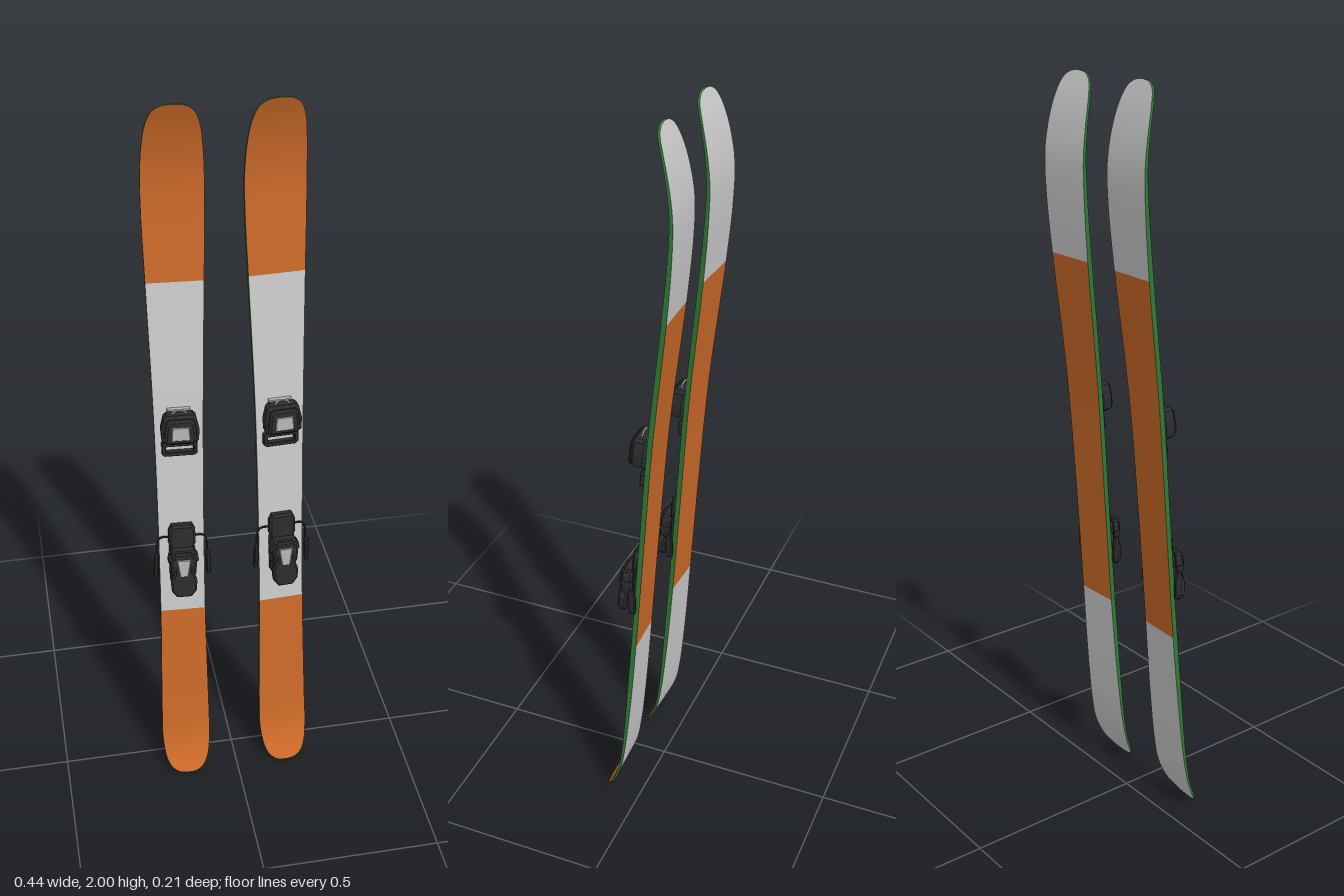
import * as THREE from 'three';

const paint = (color, flatShading = false) => new THREE.MeshStandardMaterial({ color, flatShading });
const grey = paint(0xcccccc), orange = paint(0xcc6a29), green = paint(0x2f7a35);
const black = paint(0x2c2c2e, true), lightGrey = paint(0xb4b4b4, true);

function add(parent, name, geometry, material, x = 0, y = 0, z = 0) {
  const mesh = new THREE.Mesh(geometry, material);
  mesh.name = name;
  mesh.position.set(x, y, z);
  parent.add(mesh);
  return mesh;
}

const box = (w, h, d) => new THREE.BoxGeometry(w, h, d);
const outline = pts => new THREE.Shape(pts.map(p => new THREE.Vector2(...p)));
// Outline symmetric in x, from right-hand [x, y] points listed bottom to top
const mirrored = half => outline([...half, ...half.map(([x, y]) => [-x, y]).reverse()]);

// Front-facing slab with chamfered rim, from z = 0 to z = depth
function slab(shape, depth, bevel = 0.004) {
  const geo = new THREE.ExtrudeGeometry(shape, {
    depth: depth - 2 * bevel, bevelSize: bevel, bevelThickness: bevel, bevelOffset: -bevel,
    bevelSegments: 1, curveSegments: 6,
  });
  return geo.translate(0, 0, bevel);
}

// Side profile of [z, y] points swept across the width
function sweep(pts, width, bevel = 0.005) {
  const geo = slab(outline(pts), width, bevel);
  return geo.translate(0, 0, -width / 2).rotateY(-Math.PI / 2);
}

// Half width, height and depth of the ski's centre surface, tail to tip
const STEPS = 6;
const RAIL = [
  [0, 0, 0.105], [0.025, 0.003, 0.103], [0.046, 0.016, 0.095], [0.060, 0.04, 0.080], [0.069, 0.1, 0.056],
  [0.069, 0.18, 0.042], [0.067, 0.3, 0.030], [0.0625, 0.56, 0.010], [0.062, 0.9, -0.015],
  [0.065, 1.2, -0.039], [0.073, 1.54, -0.077], [0.077, 1.7, -0.092], [0.077, 1.8, -0.095],
  [0.073, 1.88, -0.085], [0.064, 1.945, -0.069], [0.050, 1.98, -0.057], [0.028, 1.996, -0.051], [0, 2, -0.049],
];
const TAIL_SPLIT = 7 * STEPS, TIP_SPLIT = 10 * STEPS, LAST = (RAIL.length - 1) * STEPS;

// Smooth ribbon between two rows of points, the left row and the right row as seen from its front
function ribbon(rows, left, right) {
  const pos = [], index = [];
  rows.forEach((row, i) => {
    pos.push(...left(row), ...right(row));
    const a = 2 * i;
    if (i < rows.length - 1) index.push(a, a + 1, a + 3, a, a + 3, a + 2);
  });
  const geo = new THREE.BufferGeometry();
  geo.setAttribute('position', new THREE.Float32BufferAttribute(pos, 3));
  geo.setIndex(index);
  geo.computeVertexNormals();
  return geo;
}

function makeSki() {
  const ski = new THREE.Group();
  ski.name = 'ski';
  const rows = new THREE.CatmullRomCurve3(RAIL.map(p => new THREE.Vector3(...p))).getPoints(LAST)
    .map(p => {
      const t = 0.003 + 0.004 * THREE.MathUtils.smoothstep(Math.min(p.y, 2 - p.y), 0, 0.5);
      return { w: Math.max(p.x, 0), y: p.y, front: p.z + t, back: p.z - t };
    });
  const corner = (side, face) => r => [side * r.w, r.y, r[face]];
  const FL = corner(-1, 'front'), FR = corner(1, 'front'), BL = corner(-1, 'back'), BR = corner(1, 'back');
  const sections = [
    ['tail', 0, TAIL_SPLIT, orange, grey],
    ['middle', TAIL_SPLIT, TIP_SPLIT, grey, orange],
    ['tip', TIP_SPLIT, LAST, orange, grey],
  ];
  for (const [name, from, to, top, base] of sections) {
    const part = rows.slice(from, to + 1);
    add(ski, name + 'TopSheet', ribbon(part, FL, FR), top);
    add(ski, name + 'Base', ribbon(part, BR, BL), base);
  }
  add(ski, 'sidewallLeft', ribbon(rows, FR, BR), green);
  add(ski, 'sidewallRight', ribbon(rows, BL, FL), green);
  return ski;
}

function makeToeBinding() {
  const toe = new THREE.Group();
  toe.name = 'toeBinding';
  add(toe, 'toeBasePlate', box(0.07, 0.085, 0.012), black, 0, 0.01, 0.005);

  // Boot rest: a low open frame below the toe piece
  const rest = mirrored([[0.04, -0.07], [0.047, -0.063], [0.047, -0.034], [0.04, -0.028]]);
  rest.holes.push(mirrored([[0.036, -0.058], [0.036, -0.042]]));
  add(toe, 'bootRest', slab(rest, 0.018, 0.002), black);

  // Housing with wings, and its raised hood around a light panel
  add(toe, 'toeHousing', slab(mirrored([
    [0.034, -0.022], [0.048, -0.012], [0.05, 0.02], [0.042, 0.055], [0.034, 0.062],
  ]), 0.04, 0.007), black, 0, 0, 0.008);
  add(toe, 'toeHood', slab(mirrored([
    [0.036, -0.016], [0.042, -0.006], [0.036, 0.045], [0.028, 0.053],
  ]), 0.022, 0.006), black, 0, 0, 0.034);
  add(toe, 'toePanel', slab(mirrored([[0.025, -0.004], [0.022, 0.035]]), 0.006, 0.002), lightGrey, 0, 0, 0.052);

  // Light bracket and bail above the housing
  add(toe, 'toeBracket', box(0.06, 0.03, 0.014), lightGrey, 0, 0.05, 0.006);
  add(toe, 'toeBail', new THREE.TorusGeometry(0.022, 0.003, 5, 12, Math.PI), lightGrey, 0, 0.05, 0.03);
  return toe;
}

function makeHeelBinding() {
  const heel = new THREE.Group();
  heel.name = 'heelBinding';
  add(heel, 'heelTrack', box(0.06, 0.17, 0.014), black, 0, 0.01, 0.006);

  // Heel pad that the boot steps on
  add(heel, 'heelPad', slab(mirrored([
    [0.027, 0.03], [0.037, 0.055], [0.036, 0.095], [0.028, 0.112],
  ]), 0.026, 0.006), black);

  // Turret seen from the side, leaning out to the lever
  add(heel, 'heelTurret', sweep([
    [0, -0.07], [0.024, -0.068], [0.03, -0.035], [0.05, -0.03], [0.06, 0.005],
    [0.055, 0.04], [0.035, 0.045], [0.022, 0.035], [0, 0.045],
  ], 0.07), black);
  add(heel, 'heelCup', slab(mirrored([
    [0.03, 0.002], [0.042, 0.012], [0.04, 0.03], [0.03, 0.045],
  ]), 0.03, 0.006), black, 0, 0, 0.022);

  // Release lever tapering downwards, with its light panel
  add(heel, 'heelLever', slab(mirrored([
    [0.02, -0.1], [0.034, -0.08], [0.036, -0.05], [0.024, -0.015], [0.03, 0.03], [0.022, 0.042],
  ]), 0.024, 0.005), black, 0, 0, 0.034);
  add(heel, 'heelPanel', slab(mirrored([[0.011, -0.03], [0.019, 0.024]]), 0.006, 0.002), lightGrey, 0, 0, 0.055);

  // Brake arms reaching past both ski edges
  for (const s of [-1, 1]) {
    const path = new THREE.CatmullRomCurve3([
      [0.02, 0.068, 0.008], [0.056, 0.07, 0.008], [0.066, 0.058, 0.007], [0.069, 0.01, 0.005], [0.071, -0.05, 0.002],
    ].map(([x, y, z]) => new THREE.Vector3(s * x, y, z)));
    add(heel, 'brakeArm', new THREE.TubeGeometry(path, 16, 0.003, 6), black);
    const pad = add(heel, 'brakePad', sweep([
      [-0.008, -0.058], [0.006, -0.06], [0.016, -0.02], [0.018, 0.014], [0.006, 0.018], [-0.004, -0.01],
    ], 0.012, 0.003), black, s * 0.071, 0, 0);
    pad.rotation.z = s * 0.04;
  }
  return heel;
}

export function createModel() {
  const model = new THREE.Group();
  model.name = 'skiPair';
  for (const s of [-1, 1]) {
    const side = new THREE.Group();
    side.name = s > 0 ? 'leftSki' : 'rightSki';
    const toe = makeToeBinding(), heel = makeHeelBinding();
    toe.position.set(0, 1.135, -0.027);
    heel.position.set(0, 0.74, 0.003);
    toe.rotation.x = heel.rotation.x = -0.08;
    side.add(makeSki(), toe, heel);
    // Tips lean towards each other and the top sheets turn slightly outwards
    side.position.x = s * 0.144;
    side.rotation.set(0, s * 0.045, s * 0.008);
    model.add(side);
  }
  return model;
}
